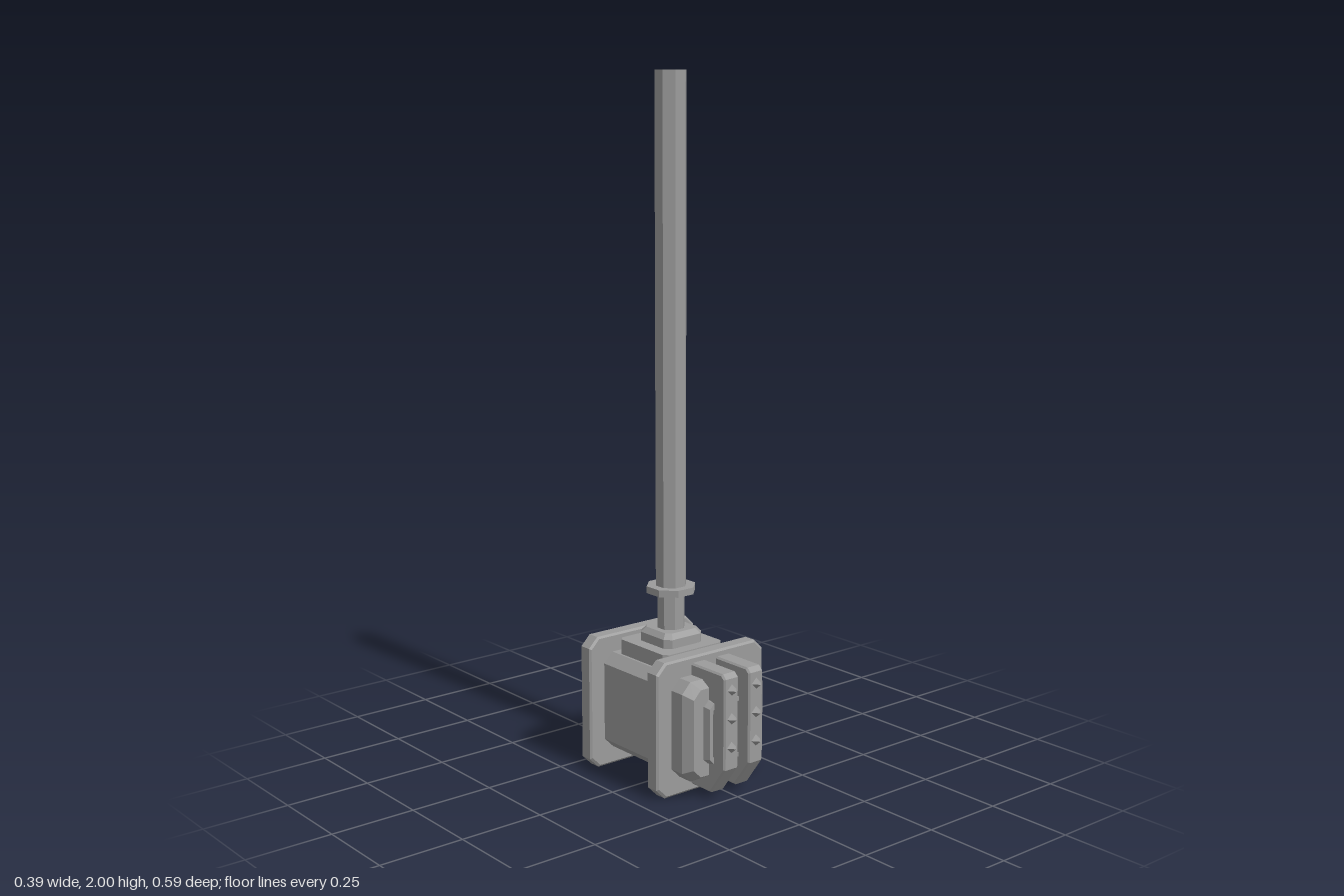
import * as THREE from 'three';

const mat = new THREE.MeshStandardMaterial({ color: 0x9b9b9b, flatShading: true });

// Loft of corner-cut rectangles along z; each ring is [halfWidth, halfHeight, cornerCut, z]
function loft(rings) {
  const pos = [];
  const loops = rings.map(([w, h, c, z]) => [
    [w, -h + c, z], [w, h - c, z], [w - c, h, z], [-w + c, h, z],
    [-w, h - c, z], [-w, -h + c, z], [-w + c, -h, z], [w - c, -h, z]]);
  const tri = (a, b, c) => pos.push(...a, ...b, ...c);
  for (let i = 0; i < loops.length - 1; i++) {
    const p = loops[i], q = loops[i + 1];
    for (let k = 0; k < 8; k++) {
      const n = (k + 1) % 8;
      tri(p[k], p[n], q[n]);
      tri(p[k], q[n], q[k]);
    }
  }
  const first = loops[0], last = loops[loops.length - 1];
  for (let k = 1; k < 7; k++) {
    tri(first[0], first[k + 1], first[k]);
    tri(last[0], last[k], last[k + 1]);
  }
  const g = new THREE.BufferGeometry();
  g.setAttribute('position', new THREE.Float32BufferAttribute(pos, 3));
  g.computeVertexNormals();
  return g;
}

// Ring of a regular octagon with flats facing the axes
const oct = (r, z) => [r, r, r * 0.586, z];

export function createModel() {
  const root = new THREE.Group();
  const add = (name, geo, x = 0, y = 0, z = 0) => {
    const m = new THREE.Mesh(geo, mat);
    m.name = name;
    m.position.set(x, y, z);
    root.add(m);
  };
  const CY = 0.198;      // head centre height
  const SZ = -0.044;     // shaft centre depth
  const upright = (name, rings) => add(name, loft(rings).rotateX(-Math.PI / 2), 0, 0, SZ);

  // Head block with tapered ends
  add('headBlock', loft([
    [0.13, 0.13, 0.022, -0.296], [0.145, 0.145, 0.03, -0.267],
    [0.145, 0.145, 0.03, 0.18], [0.127, 0.127, 0.025, 0.21]]), 0, CY, 0);

  // Bands around the head
  for (const [name, z] of [['frontBand', 0.111], ['backBand', -0.196]]) {
    add(name, loft([
      [0.19, 0.192, 0.028, -0.023], [0.196, 0.198, 0.03, -0.018],
      [0.196, 0.198, 0.03, 0.018], [0.19, 0.192, 0.028, 0.023]]), 0, CY, z);
  }

  // Raised frame with a recessed centre on the striking face
  add('faceFrame', loft([
    [0.092, 0.092, 0.015, 0.2], [0.092, 0.092, 0.015, 0.212], [0.088, 0.088, 0.015, 0.232],
    [0.076, 0.076, 0.01, 0.232], [0.074, 0.074, 0.01, 0.212]]), 0, CY, 0);

  // Two vertical blades with bevelled edges, each with three spikes
  const profile = new THREE.Shape([
    [0.12, 0.025], [0.213, 0.025], [0.27, 0.103], [0.27, 0.362], [0.26, 0.372], [0.12, 0.372],
  ].map(([z, y]) => new THREE.Vector2(z, y)));
  const bladeGeo = new THREE.ExtrudeGeometry(profile, {
    depth: 0.042, bevelEnabled: true, bevelThickness: 0.005, bevelSize: 0.005, bevelSegments: 1,
  }).translate(0, 0, -0.021).rotateY(-Math.PI / 2);
  const spikeGeo = new THREE.ConeGeometry(0.018, 0.022, 4).rotateX(Math.PI / 2);
  for (const x of [-0.046, 0.044]) {
    add('blade', bladeGeo, x);
    for (const y of [0.165, 0.248, 0.331]) add('spike', spikeGeo, x, y, 0.284);
  }

  // Stepped socket on top of the head
  upright('socketPlate', [[0.108, 0.108, 0.014, 0.33], [0.108, 0.108, 0.014, 0.387]]);
  upright('socketCollar', [
    [0.07, 0.07, 0.018, 0.38], [0.07, 0.07, 0.018, 0.413], [0.057, 0.057, 0.014, 0.428]]);

  // Handle: neck, ring and long shaft with a hollow end
  upright('handleNeck', [oct(0.038, 0.41), oct(0.038, 0.54)]);
  upright('handleRing', [oct(0.067, 0.533), oct(0.067, 0.553)]);
  upright('handleShaft', [
    oct(0.042, 0.545), oct(0.042, 2), [0.028, 0.028, 0.006, 2], [0.028, 0.028, 0.006, 1.96]]);

  return root;
}
